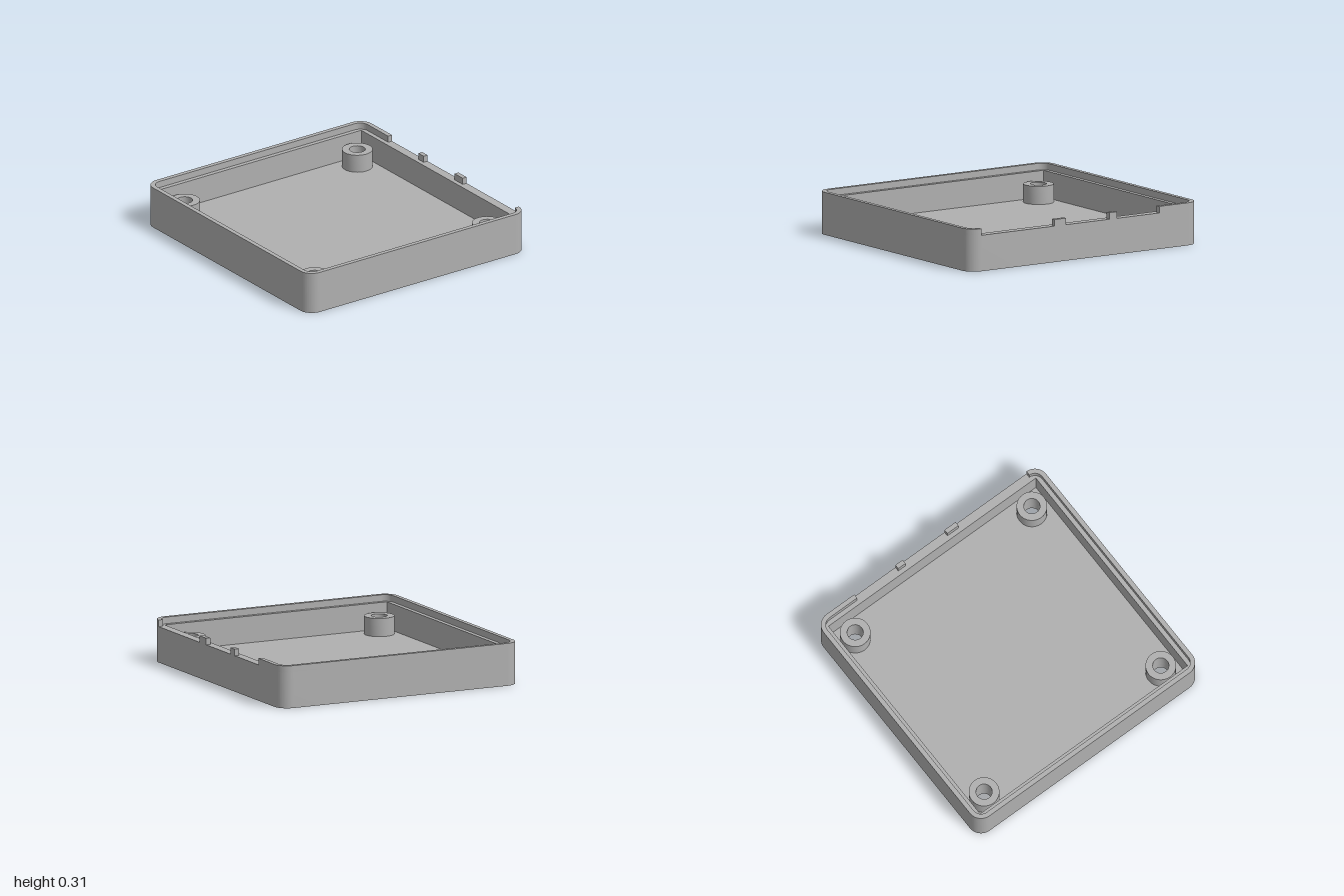
import * as THREE from 'three';
import { toCreasedNormals } from 'three/addons/utils/BufferGeometryUtils.js';

const HX = 1, HZ = 0.965;            // outer half sizes
const WALL = 0.067, LIP = 0.034;     // wall and rim thickness
const FLOOR = 0.067, LEDGE = 0.262, TOP = 0.31;
const POST = { x: 0.795, z: 0.763, r: 0.11, hole: 0.058, top: 0.2 };

export function createModel() {
  const model = new THREE.Group();
  model.name = 'enclosureBase';
  const grey = new THREE.MeshStandardMaterial({ color: 0xb0b0b0 });
  grey.name = 'grey plastic';

  // Plan shape (x, -z) raised from y0 to y1
  function addSlab(name, shape, y0, y1) {
    const raw = new THREE.ExtrudeGeometry(shape, { depth: y1 - y0, bevelEnabled: false, curveSegments: 16 });
    raw.rotateX(-Math.PI / 2).translate(0, y0, 0);
    const mesh = new THREE.Mesh(toCreasedNormals(raw, 0.5), grey);
    mesh.name = name;
    model.add(mesh);
  }

  // Rounded outline running clockwise from the back edge at xStart to xEnd
  function outline(inset, radius, xStart, xEnd) {
    const w = HX - inset, h = HZ - inset, q = Math.PI / 2;
    const path = new THREE.Path();
    path.moveTo(xStart, h);
    path.absarc(w - radius, h - radius, radius, q, 0, true);
    path.absarc(w - radius, radius - h, radius, 0, -q, true);
    path.absarc(radius - w, radius - h, radius, -q, -2 * q, true);
    path.absarc(radius - w, h - radius, radius, 2 * q, q, true);
    path.lineTo(xEnd, h);
    return path.getPoints(12);
  }

  function rectPoints(x0, x1, y0, y1) {
    return [[x0, y0], [x1, y0], [x1, y1], [x0, y1]].map(([x, y]) => new THREE.Vector2(x, y));
  }

  const circle = (x, y, r) => new THREE.Path().absarc(x, y, r, 0, Math.PI * 2, true);
  const ix = HX - WALL, iz = HZ - WALL;
  const corners = [[-1, -1], [1, -1], [1, 1], [-1, 1]].map(([sx, sz]) => [sx * POST.x, sz * POST.z]);

  // Floor plate with four screw holes
  const floor = new THREE.Shape(rectPoints(-ix, ix, -iz, iz));
  corners.forEach(([x, y]) => floor.holes.push(circle(x, y, POST.hole)));
  addSlab('floor', floor, 0, FLOOR);

  // Thick wall up to the ledge, square inside and rounded outside
  const wall = new THREE.Shape(outline(0, 0.1, 0, 0));
  wall.holes.push(new THREE.Path(rectPoints(-ix, ix, -iz, iz)));
  addSlab('wall', wall, 0, LEDGE);

  // Thin raised rim, open along the middle of the back
  const xl = -0.65, xr = 0.58;
  const rim = new THREE.Shape([...outline(0, 0.1, xr, xl), ...outline(LIP, 0.067, xr, xl).reverse()]);
  addSlab('rim', rim, LEDGE, TOP);

  // Two small tabs in the back opening
  [[-0.28, -0.215], [0.162, 0.262]].forEach(([x0, x1], i) =>
    addSlab('backTab' + (i + 1), new THREE.Shape(rectPoints(x0, x1, HZ - LIP, HZ)), LEDGE, TOP));

  // Hollow screw posts
  corners.forEach(([x, y], i) => {
    const post = new THREE.Shape().absarc(x, y, POST.r, 0, Math.PI * 2, false);
    post.holes.push(circle(x, y, POST.hole));
    addSlab('screwPost' + (i + 1), post, FLOOR, POST.top);
  });

  return model;
}
